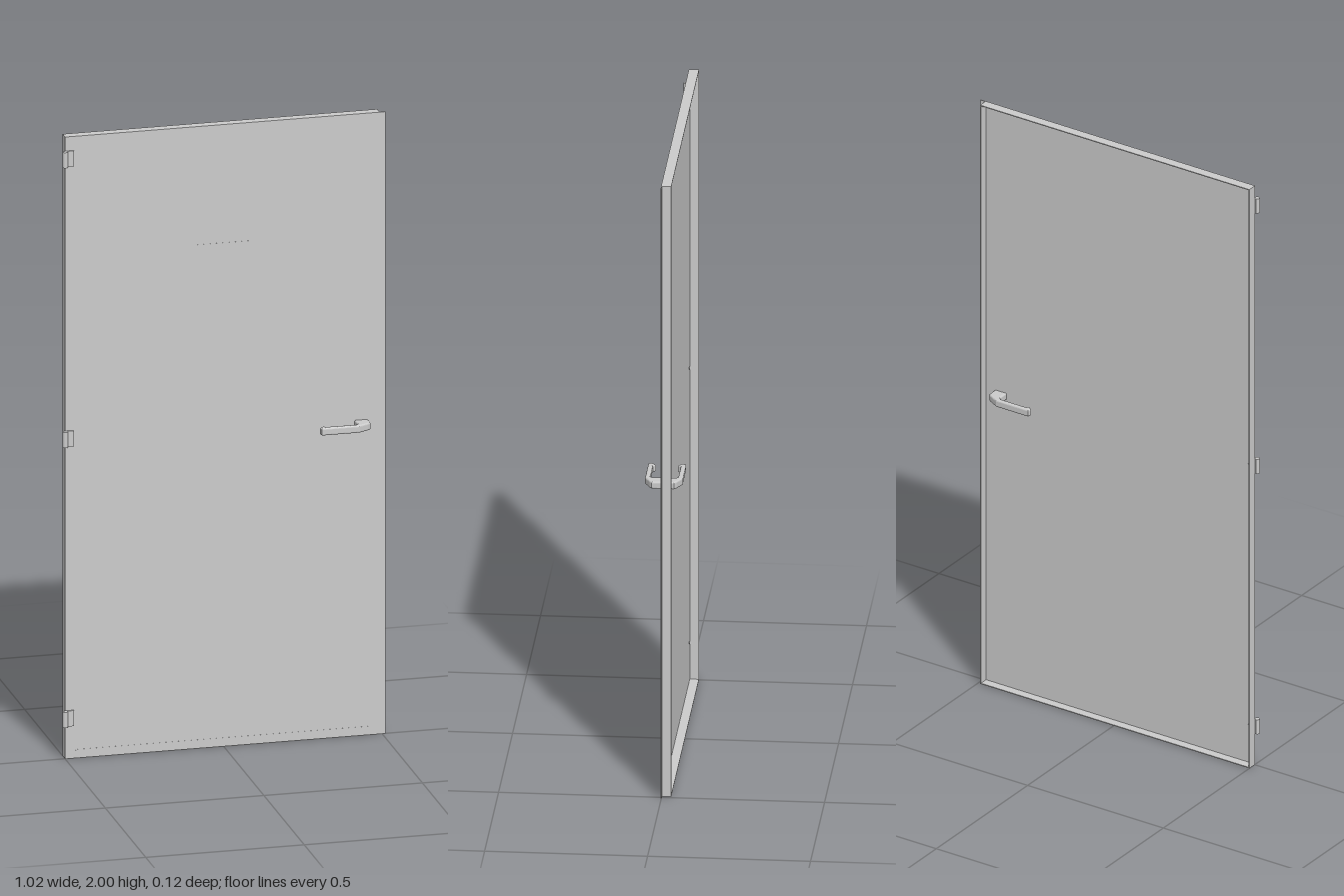
import * as THREE from 'three';

const grey = new THREE.MeshStandardMaterial({ color: 0xcccccc });

// Box given by its two opposite corners
function box(name, [x0, y0, z0], [x1, y1, z1]) {
  const mesh = new THREE.Mesh(new THREE.BoxGeometry(x1 - x0, y1 - y0, z1 - z0), grey);
  mesh.position.set((x0 + x1) / 2, (y0 + y1) / 2, (z0 + z1) / 2);
  mesh.name = name;
  return mesh;
}

// Lever outline seen from above, as [x, distance from the door]
const leverOutline = [
  [0.413, 0], [0.455, 0], [0.455, 0.034], [0.446, 0.042], [0.415, 0.058],
  [0.296, 0.058], [0.293, 0.045], [0.307, 0.034], [0.313, 0.043],
  [0.406, 0.043], [0.413, 0.037],
];

// side is 1 for the front lever, -1 for the back one
function lever(name, side) {
  const shape = new THREE.Shape(leverOutline.map(([x, d]) => new THREE.Vector2(x, d * side)));
  const height = 0.024, bevel = 0.005;
  const geometry = new THREE.ExtrudeGeometry(shape, {
    depth: height - 2 * bevel, bevelThickness: bevel, bevelSize: bevel,
    bevelOffset: -bevel, bevelSegments: 3,
  });
  geometry.rotateX(Math.PI / 2);
  const mesh = new THREE.Mesh(geometry, grey);
  mesh.position.y = 1.004 + height / 2 - bevel;
  mesh.name = name;
  return mesh;
}

// Hinge with a round knuckle and a cranked leaf
function hinge(y) {
  const group = new THREE.Group();
  group.name = 'hinge';
  const knuckle = new THREE.Mesh(new THREE.CylinderGeometry(0.008, 0.008, 0.05, 20), grey);
  knuckle.position.set(-0.502, 0, 0.011);
  knuckle.name = 'hingeKnuckle';
  group.add(knuckle);
  group.add(box('hingeLeaf', [-0.502, -0.025, 0.002], [-0.473, 0.025, 0.007]));
  // Fixing pin showing on the inside of the door sheet
  const pin = new THREE.Mesh(new THREE.CylinderGeometry(0.004, 0.004, 0.006, 12), grey);
  pin.rotation.x = Math.PI / 2;
  pin.position.set(-0.478, 0, 0);
  pin.name = 'hingePin';
  group.add(pin);
  group.position.y = y;
  return group;
}

export function createModel() {
  const door = new THREE.Group();
  door.name = 'door';

  // Front sheet, running past the latch side as a closing lip
  door.add(box('frontSheet', [-0.5, 0, -0.001], [0.51, 2, 0.002]));

  // Folded edges, leaving the back of the door open like a tray
  const t = 0.003, back = -0.029;
  door.add(box('topFlange', [-0.5, 2 - t, back], [0.492, 2, 0]));
  door.add(box('bottomFlange', [-0.5, 0, back], [0.492, t, 0]));
  door.add(box('hingeFlange', [-0.5, t, back], [-0.5 + t, 2 - t, 0]));
  door.add(box('latchFlange', [0.492 - t, t, back], [0.492, 2 - t, 0]));

  // Plain sign plate, bottom strip and its small fixing
  door.add(box('signPlate', [-0.1, 1.42, 0.001], [0.09, 1.62, 0.0025]));
  door.add(box('bottomStrip', [-0.475, 0.024, 0.001], [0.46, 0.028, 0.0025]));
  const fixing = new THREE.Mesh(new THREE.CylinderGeometry(0.006, 0.006, 0.004, 12), grey);
  fixing.rotation.x = Math.PI / 2;
  fixing.position.set(-0.465, 0.02, 0.001);
  fixing.name = 'stripFixing';
  door.add(fixing);

  for (const y of [0.13, 1.03, 1.93]) door.add(hinge(y));

  door.add(lever('frontHandle', 1), lever('backHandle', -1));
  return door;
}
